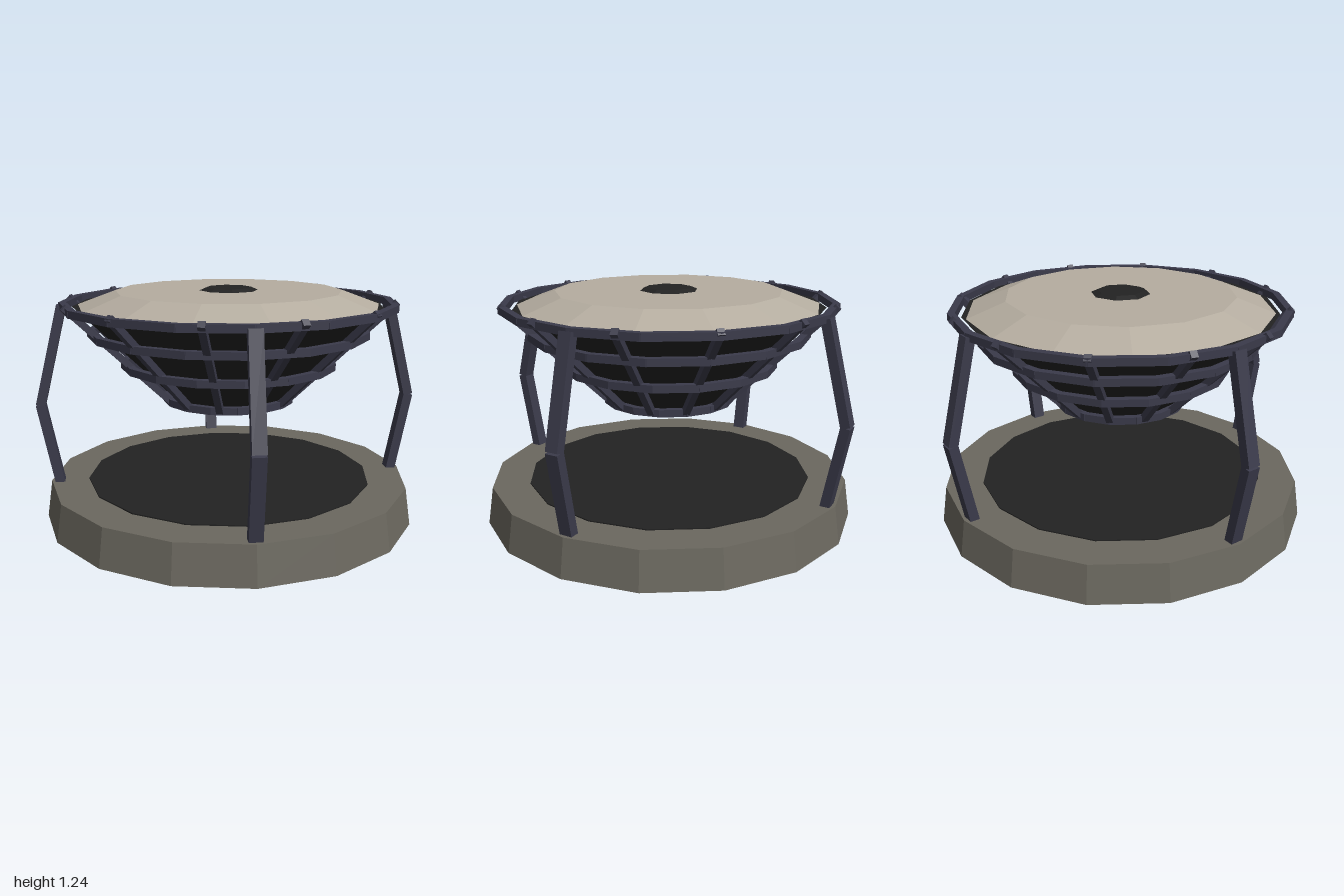
import * as THREE from 'three';

const mat = (name, color) => {
  const m = new THREE.MeshStandardMaterial({ color, flatShading: true });
  m.name = name;
  return m;
};

export function createModel() {
  const stone = mat('stone', 0x6b685f);
  const iron = mat('iron', 0x3a3a4a);
  const soot = mat('soot', 0x222222);
  const cream = mat('cream', 0xb5ada0);

  const model = new THREE.Group();
  model.name = 'bowlOnStand';

  // Faceted cylinder standing between two heights
  const drum = (name, rTop, rBottom, y0, y1, sides, material, parent = model) => {
    const mesh = new THREE.Mesh(new THREE.CylinderGeometry(rTop, rBottom, y1 - y0, sides), material);
    mesh.name = name;
    mesh.position.y = (y0 + y1) / 2;
    parent.add(mesh);
    return mesh;
  };

  // Point at an angle around the y axis
  const polar = (r, y, a) => new THREE.Vector3(Math.sin(a) * r, y, Math.cos(a) * r);

  // Box bar from a to b, its depth axis turned toward the given outward direction
  const bar = (name, a, b, width, depth, outward, parent) => {
    const along = b.clone().sub(a);
    const length = along.length();
    along.normalize();
    const side = along.clone().cross(outward).normalize();
    const out = side.clone().cross(along).normalize();
    const mesh = new THREE.Mesh(new THREE.BoxGeometry(width, length, depth), iron);
    mesh.name = name;
    mesh.quaternion.setFromRotationMatrix(new THREE.Matrix4().makeBasis(side, along, out));
    mesh.position.copy(a).add(b).multiplyScalar(0.5);
    parent.add(mesh);
  };

  // Stone base with a dark plate let into its top
  drum('base', 0.97, 1, 0, 0.2, 16, stone);
  drum('basePlate', 0.77, 0.77, 0.198, 0.206, 16, soot);

  // Dark bowl, shallow cream cover and its hub
  drum('bowl', 0.82, 0.3, 0.645, 1.145, 16, soot);
  drum('cover', 0.6, 0.8, 1.146, 1.22, 14, cream);
  drum('hub', 0.12, 0.155, 1.22, 1.235, 8, soot);

  // Cage rings, each made of short straight bars
  const cage = new THREE.Group();
  cage.name = 'cage';
  model.add(cage);
  const step = Math.PI / 8;
  for (const [r, y] of [[0.335, 0.645], [0.56, 0.835], [0.73, 1.005], [0.87, 1.15]]) {
    for (let i = 0; i < 16; i++) {
      const a = i * step;
      bar('ringBar', polar(r, y, a - 0.008), polar(r, y, a + step + 0.008),
        0.038, 0.038, polar(1, 0, a + step / 2), cage);
    }
  }

  // Twelve sloping ribs
  for (let i = 0; i < 12; i++) {
    const a = i * Math.PI / 6;
    bar('rib', polar(0.325, 0.635, a), polar(0.88, 1.17, a), 0.035, 0.035, polar(1, 0, a), cage);
  }

  // Four kneed legs on the diagonals
  for (let i = 0; i < 4; i++) {
    const a = Math.PI / 4 + i * Math.PI / 2;
    const leg = new THREE.Group();
    leg.name = 'leg';
    const out = polar(1, 0, a);
    const knee = polar(1.005, 0.628, a);
    bar('lowerLeg', polar(0.92, 0.18, a), knee, 0.068, 0.05, out, leg);
    bar('upperLeg', knee, polar(0.875, 1.15, a), 0.068, 0.05, out, leg);
    model.add(leg);
  }

  return model;
}
